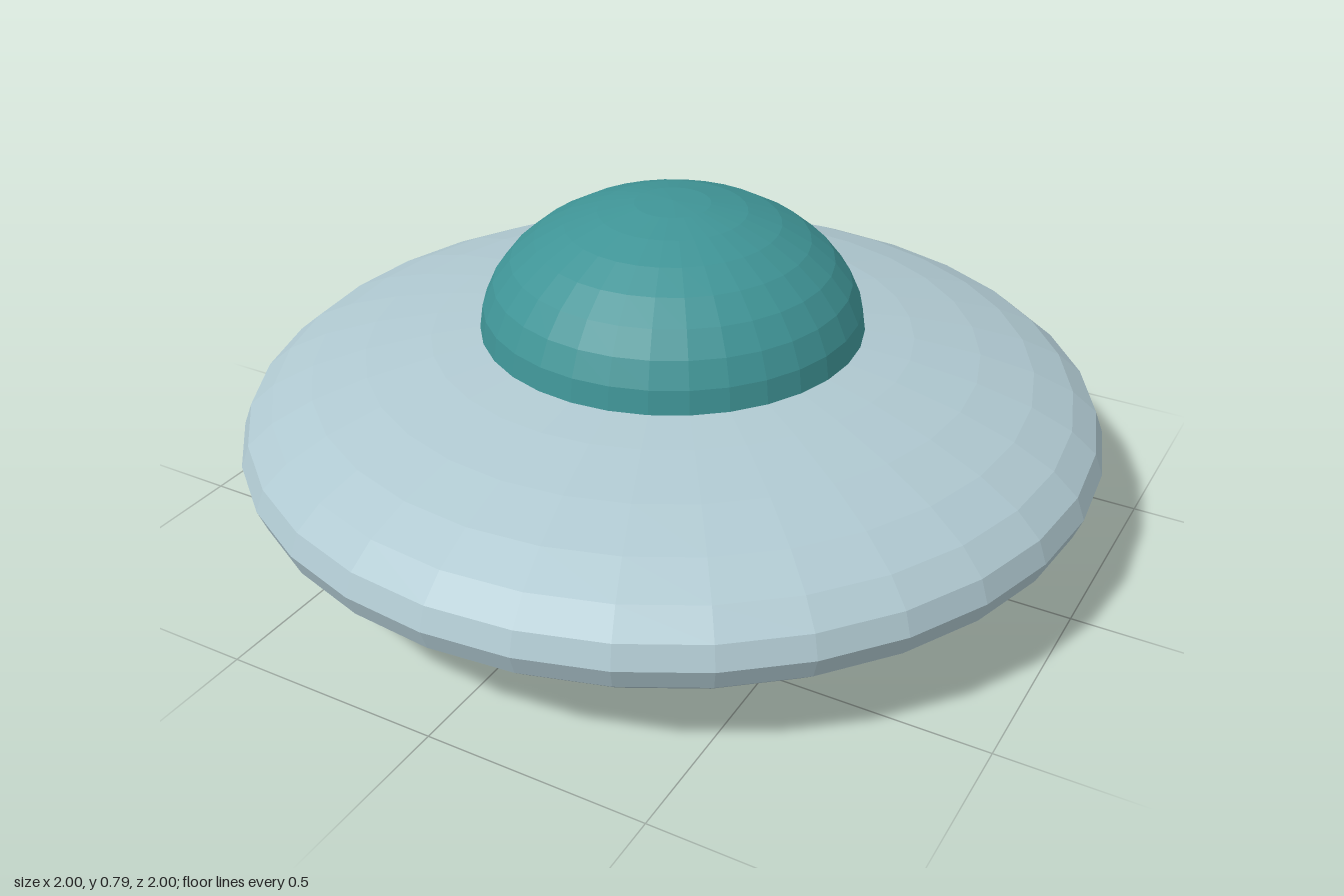
import * as THREE from 'three';

const SIDES = 32;

// Faceted ball or half ball, squashed to its own radius and height
function squashedBall(name, radius, height, y, color, rows, sweep) {
  const geometry = new THREE.SphereGeometry(1, SIDES, rows, 0, Math.PI * 2, 0, sweep);
  geometry.scale(radius, height, radius);
  const material = new THREE.MeshStandardMaterial({ color, flatShading: true });
  const mesh = new THREE.Mesh(geometry, material);
  mesh.name = name;
  mesh.position.y = y;
  return mesh;
}

export function createModel() {
  const model = new THREE.Group();
  model.name = 'flyingSaucer';

  // Lens-shaped hull standing on the ground
  model.add(squashedBall('hull', 1, 0.258, 0.26, 0xafc8d0, 16, Math.PI));

  // Half-ball cockpit, its rim resting in the top of the hull
  const dome = squashedBall('dome', 0.443, 0.304, 0.485, 0x3f9496, 8, Math.PI / 2);
  dome.material.side = THREE.DoubleSide;
  model.add(dome);

  return model;
}
